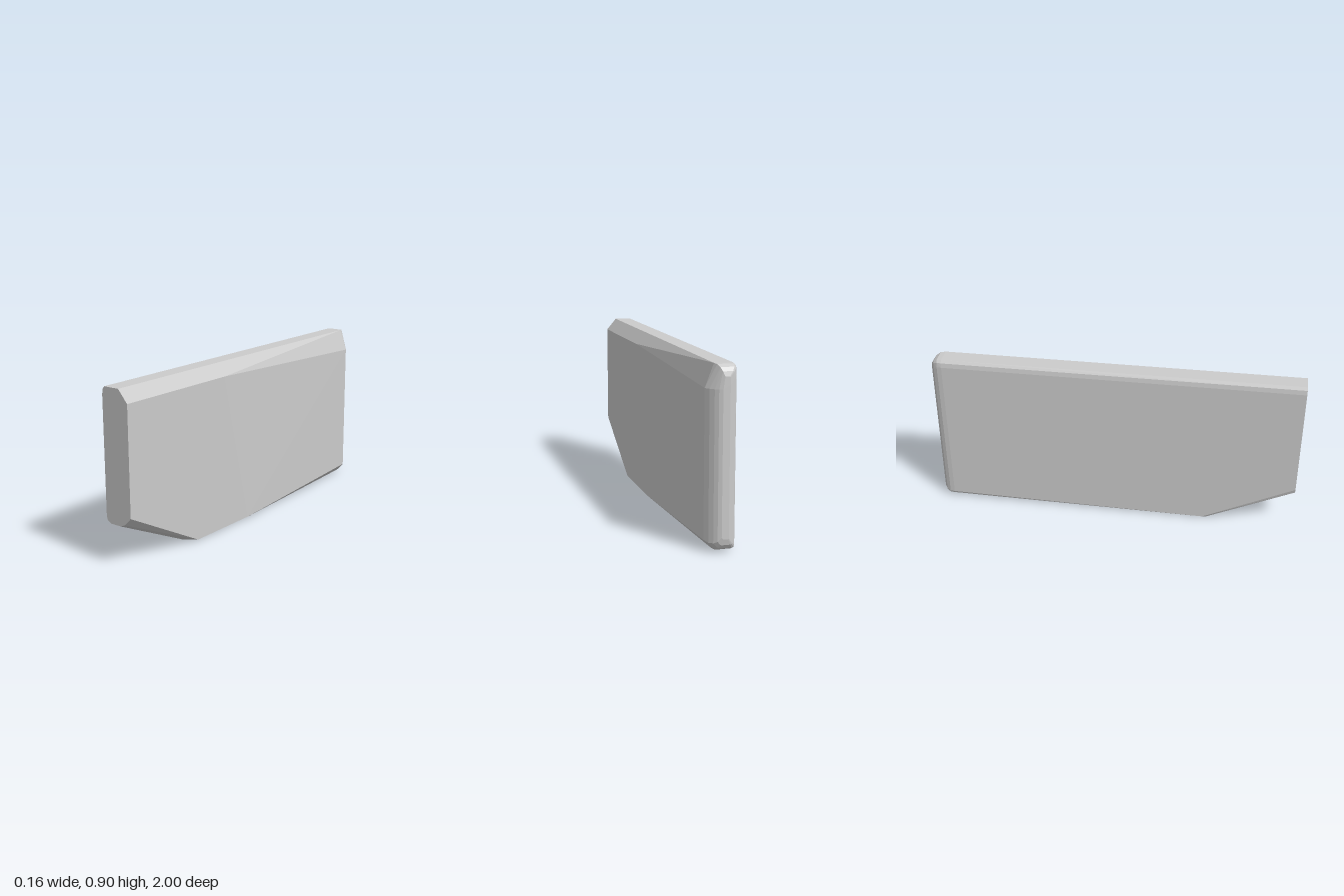
import * as THREE from 'three';
import { ConvexGeometry } from 'three/addons/geometries/ConvexGeometry.js';

export function createModel() {
  const group = new THREE.Group();
  const points = [];
  // One cross-section: [x, y] corners placed at depth z
  const section = (z, corners) => corners.forEach(([x, y]) => points.push(new THREE.Vector3(x, y, z)));

  // Flat front end, with a wide bevel on the left and narrow rounding on the right
  section(1, [
    [-0.065, 0.9], [0.025, 0.9], [0.08, 0.835], [0.08, 0.267], [0.04, 0.226], [0.01, 0.214],
    [-0.05, 0.214], [-0.073, 0.225], [-0.08, 0.248], [-0.08, 0.86], [-0.076, 0.885],
  ]);

  // Where the sloping underside meets the flat bottom
  section(0.54, [[-0.05, 0], [0.01, 0]]);
  section(0.52, [[-0.073, 0], [0.04, 0]]);
  section(0.5, [[-0.08, 0.004], [0.08, 0.004]]);

  // Start of the side taper, top and bottom
  section(0.27, [[0.08, 0.835]]);
  section(0.07, [[0.08, 0.004]]);
  section(-0.25, [[-0.05, 0], [0.02, 0]]);

  // Rounded back end: shrinking sections [z, right x, left x, top y, bottom y]
  const back = [
    [-0.935, -0.08, 0.069, 0.9, 0.008],
    [-0.96, -0.077, 0.053, 0.898, 0.01],
    [-0.98, -0.068, 0.035, 0.886, 0.021],
    [-0.993, -0.054, 0.018, 0.868, 0.04],
    [-1, -0.035, 0, 0.845, 0.07],
  ];
  back.forEach(([z, x0, x1, top, bottom], i) => {
    const k = 1 - i / 5;
    section(z, [
      [x0, top - 0.04], [x0 + 0.004 * k, top - 0.015 * k], [x0 + 0.015 * k, top],
      [x1 - 0.044 * k, top], [x1, Math.min(0.785, top - 0.06)],
      [x1, bottom + 0.047 * k], [x1 - 0.03 * k, bottom + 0.012 * k], [x1 - 0.045 * k, bottom],
      [x0 + 0.02 * k, bottom], [x0 + 0.005 * k, bottom + 0.008 * k], [x0, bottom + 0.02 * k],
    ]);
  });

  const blade = new THREE.Mesh(
    new ConvexGeometry(points),
    new THREE.MeshStandardMaterial({ color: 0xcccccc, flatShading: true })
  );
  blade.name = 'bevelledSlab';
  group.add(blade);
  return group;
}
